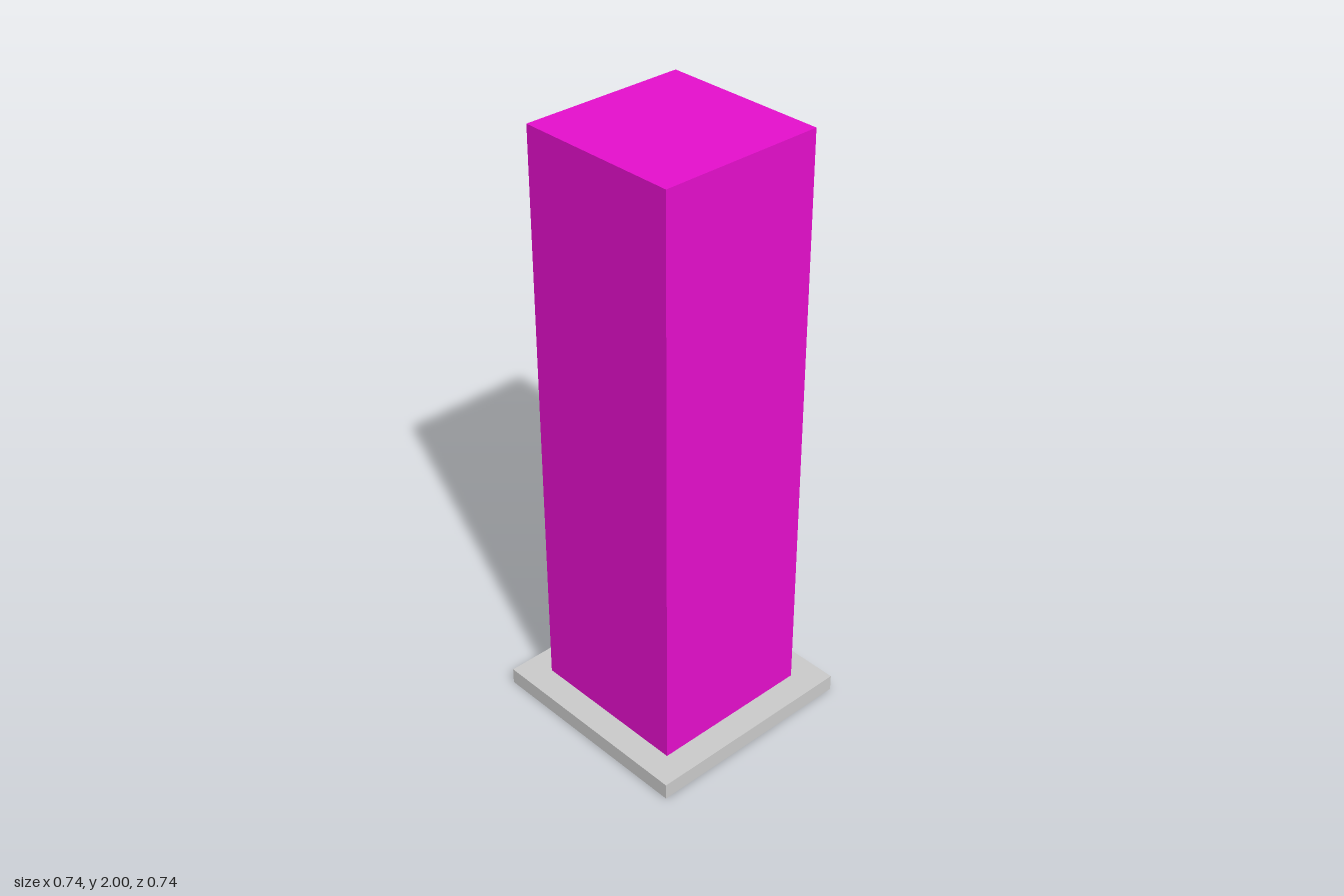
import * as THREE from 'three';

export function createModel() {
  const model = new THREE.Group();
  const grey = new THREE.MeshStandardMaterial({ color: 0xcccccc });
  const magenta = new THREE.MeshStandardMaterial({ color: 0xe60fcd });

  // Box given by its size and the centre of its underside
  function addBox(name, material, [w, h, d], [x, y, z]) {
    const mesh = new THREE.Mesh(new THREE.BoxGeometry(w, h, d), material);
    mesh.name = name;
    mesh.position.set(x, y + h / 2, z);
    model.add(mesh);
  }

  // Square plinth
  addBox('base', grey, [0.74, 0.055, 0.74], [0, 0, 0]);
  // Tall square pillar standing on the plinth
  addBox('column', magenta, [0.557, 1.945, 0.557], [-0.001, 0.055, -0.001]);
  // Small raised plate behind the pillar
  addBox('rearPlate', grey, [0.094, 0.013, 0.06], [0.003, 0.055, -0.32]);

  return model;
}
